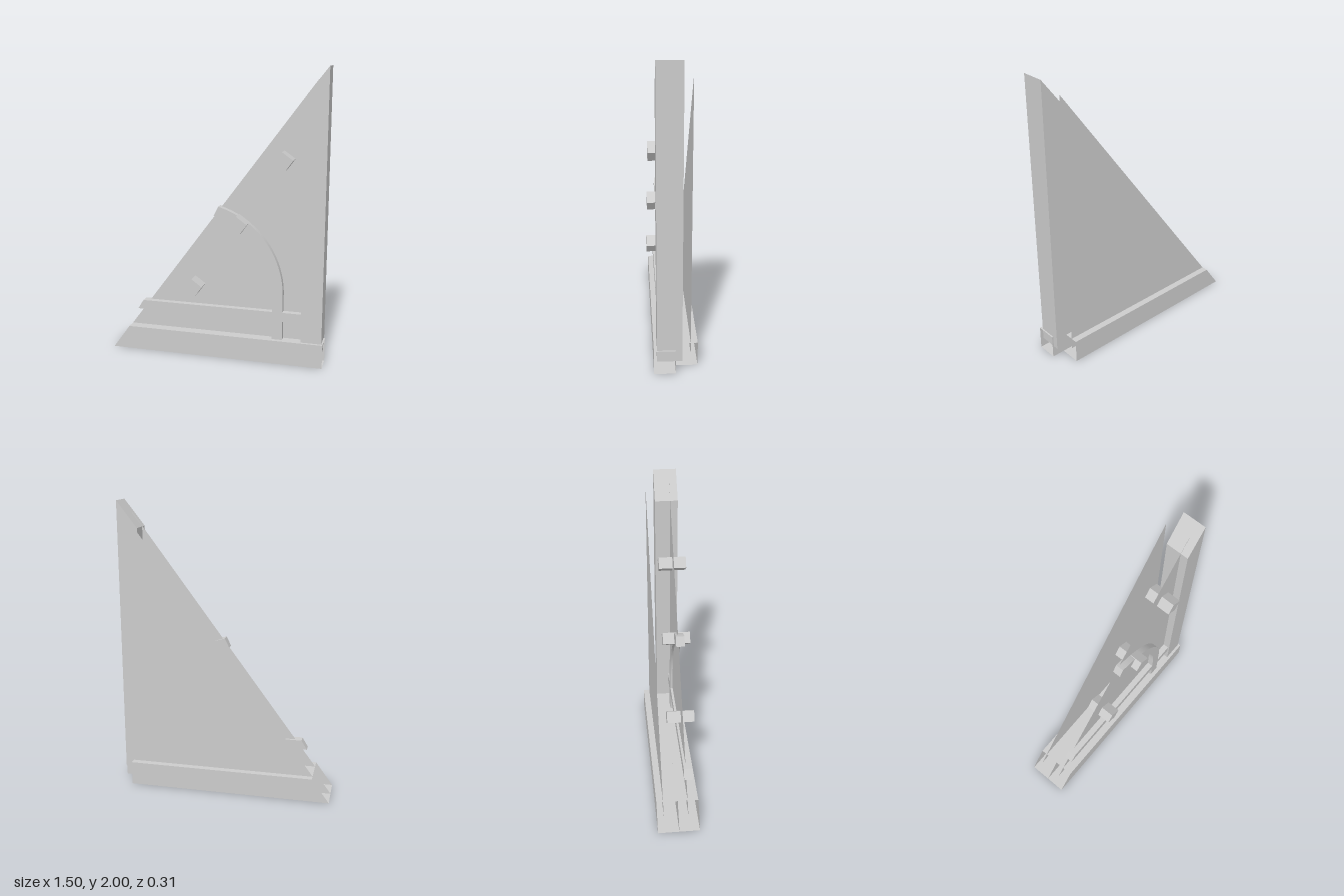
import * as THREE from 'three';

const material = new THREE.MeshStandardMaterial({ color: 0xcccccc, flatShading: true, side: THREE.DoubleSide });

function add(group, name, geometry) {
  const mesh = new THREE.Mesh(geometry, material);
  mesh.name = name;
  group.add(mesh);
  return mesh;
}

// Thin flat sheet from an outline of 3D corners (triangle fan)
function sheet(...corners) {
  const positions = [];
  for (let i = 1; i < corners.length - 1; i++) positions.push(...corners[0], ...corners[i], ...corners[i + 1]);
  const geometry = new THREE.BufferGeometry();
  geometry.setAttribute('position', new THREE.Float32BufferAttribute(positions, 3));
  geometry.computeVertexNormals();
  return geometry;
}

// Solid bar from an outline in x and y, running from z0 to z1
function bar(shape, z0, z1) {
  return new THREE.ExtrudeGeometry(shape, { depth: z1 - z0, bevelEnabled: false, curveSegments: 24 }).translate(0, 0, z0);
}

// Open-ended base channel with a sloping left end
function addChannel(group, name, z0, z1, right) {
  const channel = new THREE.Group();
  channel.name = name;
  const low = -0.75, high = -0.63, top = 0.165;
  for (const z of [z0, z1]) {
    add(channel, 'channelWall', sheet([low, 0, z], [right, 0, z], [right, top, z], [high, top, z]));
  }
  add(channel, 'channelFloor', sheet([low, 0, z0], [right, 0, z0], [right, 0, z1], [low, 0, z1]));
  add(channel, 'channelTop', sheet([high, top, z1], [right, top, z1], [right, top, z0], [high, top, z0]));
  group.add(channel);
}

export function createModel() {
  const model = new THREE.Group();
  model.name = 'triangularPanel';

  // Base channels, the front one running on past the post
  addChannel(model, 'frontBaseChannel', -0.01, 0.13, 0.75);
  addChannel(model, 'backBaseChannel', -0.155, -0.01, 0.66);

  // Two thin triangular panels
  for (const [name, z, x, y] of [['frontPanel', 0.057, 0.67, 1.92], ['backPanel', -0.11, 0.66, 1.91]]) {
    add(model, name, sheet([-0.69, 0.085, z], [x, 0.085, z], [x, y, z]));
  }

  // Hollow upright post: open below, sloping cap above
  const post = new THREE.Group();
  post.name = 'post';
  const ring = [[0.6, 0.11, 1.82], [0.74, 0.11, 2], [0.74, -0.05, 2], [0.6, -0.05, 1.82]];
  ring.forEach(([x, z, y], i) => {
    const [x2, z2, y2] = ring[(i + 1) % 4];
    add(post, 'postWall', sheet([x, 0.085, z], [x2, 0.085, z2], [x2, y2, z2], [x, y, z]));
  });
  add(post, 'postCap', sheet(...ring.map(([x, z, y]) => [x, y, z])));
  model.add(post);

  // Horizontal rail with a slanted end
  const rail = new THREE.Shape([[-0.57, 0.295], [0.6, 0.295], [0.6, 0.36], [-0.53, 0.36]].map(p => new THREE.Vector2(...p)));
  add(model, 'horizontalRail', bar(rail, 0.04, 0.1));

  // Curved rail: straight leg, then an arc up to the sloping edge
  const curve = new THREE.Shape();
  curve.moveTo(0.4, 0.085);
  curve.lineTo(0.47, 0.085);
  curve.lineTo(0.47, 0.48);
  curve.absarc(-0.14, 0.48, 0.61, 0, 1.305, false);
  curve.absarc(-0.14, 0.48, 0.54, 1.33, 0, true);
  add(model, 'curvedRail', bar(curve, 0.04, 0.1));

  // Tilted pegs passing through the front panel
  for (const [x, y] of [[0.47, 1.4], [0.17, 0.96], [-0.142, 0.503]]) {
    const peg = add(model, 'peg', new THREE.BoxGeometry(0.09, 0.08, 0.193));
    peg.position.set(x, y, 0.0565);
    peg.rotation.z = -0.62;
  }
  return model;
}
